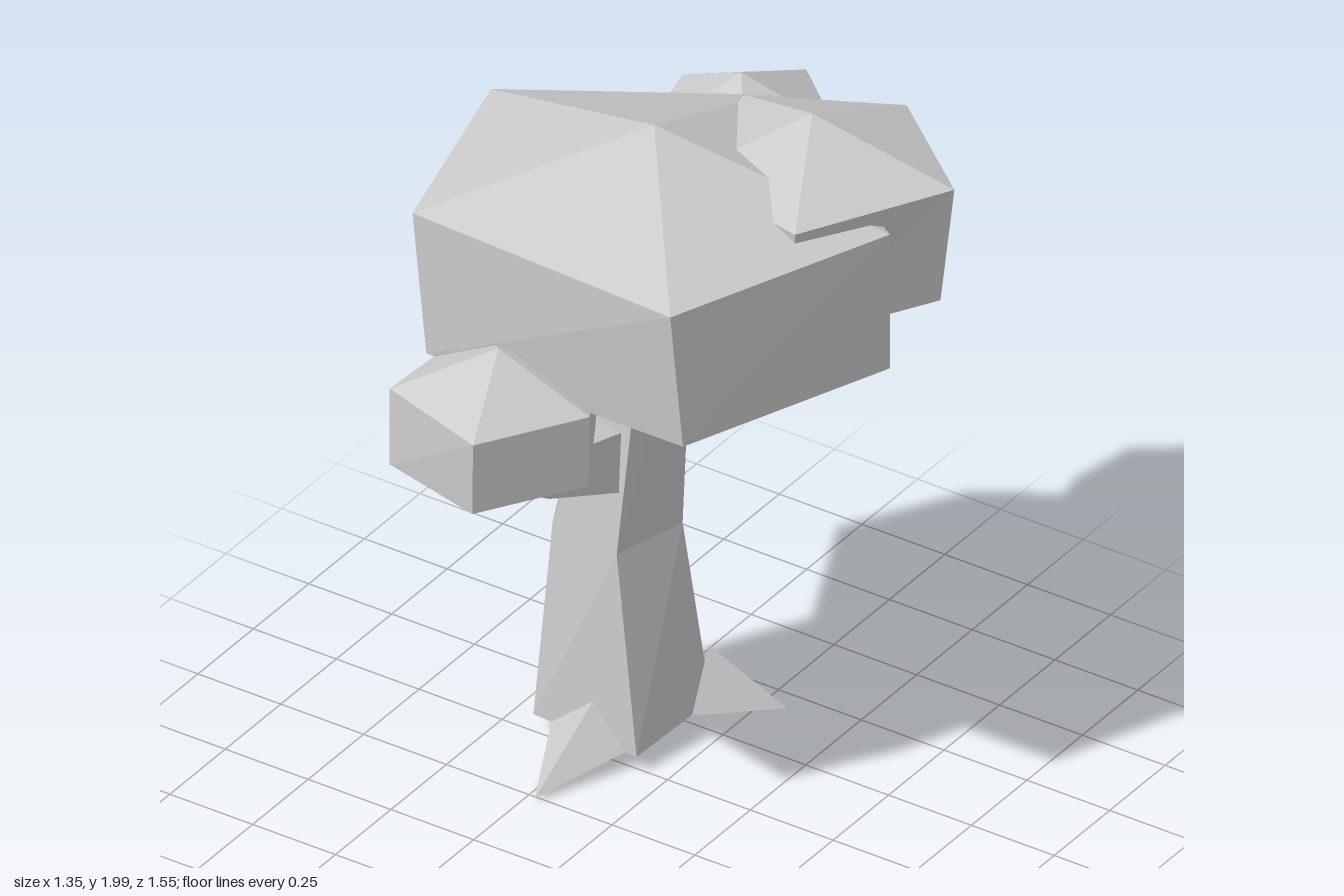
import * as THREE from 'three';

const material = new THREE.MeshStandardMaterial({ color: 0xcccccc, flatShading: true });

// Skin between cross-sections (counter-clockwise about the direction of travel).
// A section of one point closes the end.
function loft(name, rings) {
  const pos = [];
  const n = Math.max(...rings.map((r) => r.length));
  for (let k = 0; k < rings.length - 1; k++) {
    const lo = rings[k], hi = rings[k + 1];
    for (let i = 0; i < n; i++) {
      const a = lo[i % lo.length], b = lo[(i + 1) % n % lo.length];
      const c = hi[(i + 1) % n % hi.length], d = hi[i % hi.length];
      if (a !== b) pos.push(...a, ...b, ...c);
      if (c !== d) pos.push(...a, ...c, ...d);
    }
  }
  const g = new THREE.BufferGeometry();
  g.setAttribute('position', new THREE.Float32BufferAttribute(pos, 3));
  g.computeVertexNormals();
  const mesh = new THREE.Mesh(g, material);
  mesh.name = name;
  return mesh;
}

// Level section at height y from [x, z] corners
const level = (y, pts) => pts.map(([x, z]) => [x, y, z]);

// Five-sided leaf clump: bottom point, lower ring, upper ring, top point
const crown = (name, bottom, yLow, low, yHigh, high, top) =>
  loft(name, [[bottom], level(yLow, low), level(yHigh, high), [top]]);

// Four-sided tapering branch along [x, y, z, half width] stations
function branch(name, stations) {
  const p = stations.map((s) => new THREE.Vector3(s[0], s[1], s[2]));
  const rings = stations.map((s, i) => {
    const dir = p[Math.min(i + 1, p.length - 1)].clone().sub(p[Math.max(i - 1, 0)]).normalize();
    const u = new THREE.Vector3(1, 0, 0).addScaledVector(dir, -dir.x).normalize();
    const v = dir.clone().cross(u);
    return [[1, -1], [1, 1], [-1, 1], [-1, -1]].map(([a, b]) =>
      p[i].clone().addScaledVector(u, a * s[3]).addScaledVector(v, b * s[3]).toArray());
  });
  return loft(name, [[p[0].toArray()], ...rings, [p[p.length - 1].toArray()]]);
}

export function createModel() {
  const tree = new THREE.Group();
  tree.name = 'tree';

  // Trunk, leaning slightly and narrowing upward
  tree.add(loft('trunk', [
    [[-0.24, 0.06, -0.14]],
    level(0.06, [[-0.405, 0.0], [-0.08, 0.02], [-0.07, -0.3], [-0.28, -0.32], [-0.41, -0.22]]),
    level(0.62, [[-0.38, -0.05], [-0.16, -0.01], [-0.105, -0.225], [-0.22, -0.275], [-0.36, -0.2]]),
    level(1.42, [[-0.22, -0.08], [-0.11, -0.075], [-0.06, -0.21], [-0.14, -0.235], [-0.22, -0.18]]),
    [[-0.15, 1.42, -0.15]],
  ]));

  // Roots
  tree.add(loft('frontRoot', [
    [[-0.115, 0.06, 0.015], [-0.22, 0.17, 0.005], [-0.35, 0.06, 0.0]],
    [[-0.22, 0.02, 0.27]],
  ]));
  tree.add(loft('sideRoot', [
    [[-0.2, 0.06, -0.32], [-0.08, 0.22, -0.305], [-0.07, 0.06, -0.215]],
    [[0.1, 0.05, -0.39]],
  ]));
  tree.add(loft('backRoot', [
    [[-0.4, 0.06, -0.15], [-0.36, 0.19, -0.24], [-0.28, 0.06, -0.32]],
    [[-0.545, 0.05, -0.355], [-0.53, 0.125, -0.45], [-0.48, 0.05, -0.47]],
    [[-0.6, 0.01, -0.51]],
  ]));

  // Branches
  tree.add(branch('frontBranch', [
    [-0.25, 0.86, -0.1, 0.09], [-0.25, 0.96, 0.22, 0.055],
    [-0.28, 1.08, 0.465, 0.028], [-0.27, 1.22, 0.47, 0.024],
  ]));
  tree.add(branch('backBranch', [
    [-0.14, 1.2, -0.18, 0.05], [-0.13, 1.31, -0.36, 0.035], [-0.13, 1.45, -0.42, 0.025],
  ]));

  // Leaf clumps
  tree.add(crown('mainCrown', [0, 1.245, 0.07],
    1.405, [[-0.4, 0.49], [0.375, 0.49], [0.605, -0.1], [0, -0.46], [-0.675, -0.1]],
    1.805, [[-0.445, 0.485], [0.36, 0.525], [0.605, -0.1], [0, -0.47], [-0.6, -0.1]],
    [0, 2, 0.06]));
  tree.add(crown('upperCrown', [0.3, 1.43, -0.27],
    1.515, [[0.09, 0.0], [0.43, 0.06], [0.63, -0.29], [0.375, -0.58], [0.02, -0.37]],
    1.86, [[0.07, 0.025], [0.455, 0.105], [0.672, -0.29], [0.355, -0.548], [-0.01, -0.36]],
    [0.3, 2, -0.205]));
  tree.add(crown('backCrown', [-0.12, 1.36, -0.47],
    1.46, [[-0.26, -0.32], [0.02, -0.31], [0.14, -0.575], [-0.1, -0.72], [-0.32, -0.57]],
    1.68, [[-0.28, -0.31], [0.03, -0.3], [0.115, -0.59], [-0.1, -0.775], [-0.345, -0.585]],
    [-0.125, 1.8, -0.52]));
  tree.add(crown('frontCrown', [-0.18, 1.12, 0.5],
    1.185, [[-0.38, 0.685], [-0.08, 0.76], [0.09, 0.49], [-0.05, 0.25], [-0.4, 0.32]],
    1.4, [[-0.39, 0.67], [-0.07, 0.772], [0.1, 0.5], [-0.03, 0.26], [-0.37, 0.31]],
    [-0.155, 1.53, 0.53]));

  return tree;
}
